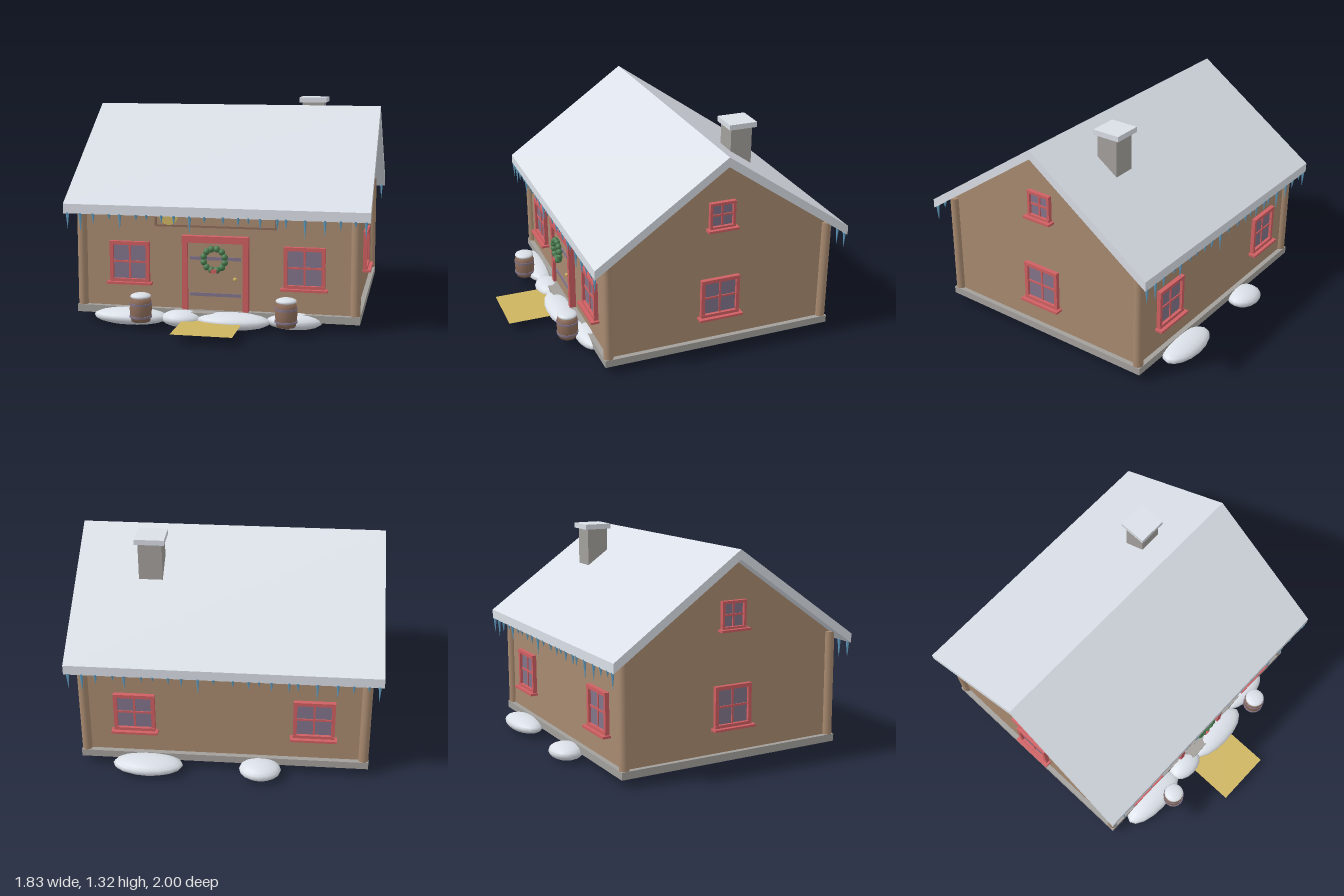
import * as THREE from 'three';

const mat = (name, color, extra = {}) =>
  Object.assign(new THREE.MeshStandardMaterial({ color, ...extra }), { name });

export function createModel() {
  const wall = mat('wall wood', 0xa88a70);
  const wood = mat('dark wood', 0x8c6c5a);
  const snow = mat('snow', 0xdde2ea);
  const stone = mat('stone', 0xa3a09c);
  const red = mat('red trim', 0xcf5f62);
  const glass = mat('glass and iron', 0x82748a);
  const green = mat('wreath green', 0x4a7d50);
  const gold = mat('gold', 0xcdb460, { side: THREE.DoubleSide });
  const ice = mat('ice', 0x5f9cc0);

  const model = new THREE.Group();
  model.name = 'winterCabin';
  const CZ = -0.125; // ridge line depth
  const HX = 0.83, HZ = 0.695; // wall half sizes

  function add(name, geo, material, x = 0, y = 0, z = 0, parent = model) {
    const m = new THREE.Mesh(geo, material);
    m.name = name;
    m.position.set(x, y, z);
    parent.add(m);
    return m;
  }
  const box = (name, w, h, d, material, x, y, z, parent) =>
    add(name, new THREE.BoxGeometry(w, h, d), material, x, y, z, parent);
  function group(name, x, y, z, parent = model) {
    const g = new THREE.Group();
    g.name = name;
    g.position.set(x, y, z);
    parent.add(g);
    return g;
  }
  // Extrudes a (z, y) outline along x, centred on x = 0
  function profileAlongX(points, length) {
    const shape = new THREE.Shape(points.map(([z, y]) => new THREE.Vector2(-z, y)));
    const geo = new THREE.ExtrudeGeometry(shape, { depth: length, bevelEnabled: false });
    return geo.translate(0, 0, -length / 2).rotateY(Math.PI / 2);
  }

  // Base, walls, gables and round corner posts
  box('foundation', 1.72, 0.045, 1.45, stone, 0, 0.0725, CZ);
  box('walls', 2 * HX, 0.64, 2 * HZ, wall, 0, 0.415, CZ);
  add('gable', profileAlongX([[-HZ, 0.735], [HZ, 0.735], [0, 1.222]], 2 * HX), wall, 0, 0, CZ);
  for (const sx of [-1, 1]) for (const sz of [-1, 1])
    add('cornerPost', new THREE.CylinderGeometry(0.03, 0.03, 0.64, 12), wall, sx * HX, 0.415, CZ + sz * HZ);

  // Snow-covered roof
  add('roof', profileAlongX([
    [-0.795, 0.667], [0, 1.222], [0.795, 0.667], [0.795, 0.725], [0, 1.28], [-0.795, 0.725],
  ], 1.83), snow, 0, 0, CZ);
  for (const s of [-1, 1])
    box('eaveTrim', 1.62, 0.025, 0.02, red, 0, 0.7, CZ + s * (HZ + 0.01));

  // Chimney
  box('chimney', 0.142, 0.4, 0.135, stone, 0.465, 1.09, -0.378);
  box('chimneyCap', 0.178, 0.032, 0.175, snow, 0.465, 1.304, -0.381);

  // Icicles along both eaves: x position and length
  const icicles = [
    [-0.89, 0.1], [-0.81, 0.12], [-0.73, 0.07], [-0.63, 0.04], [-0.565, 0.1], [-0.465, 0.04],
    [-0.4, 0.035], [-0.31, 0.05], [-0.235, 0.06], [-0.14, 0.11], [-0.05, 0.04], [0.06, 0.05],
    [0.15, 0.06], [0.21, 0.04], [0.28, 0.07], [0.38, 0.07], [0.43, 0.06], [0.54, 0.12],
    [0.655, 0.1], [0.745, 0.06], [0.83, 0.04], [0.89, 0.1]];
  for (const s of [-1, 1]) for (const [x, len] of icicles)
    add('icicle', new THREE.ConeGeometry(0.011, len, 6).rotateX(Math.PI), ice,
      s * x, 0.672 - len / 2, CZ + s * 0.788);

  // Window facing +z, then turned to its wall
  function windowUnit(x, y, z, turn, w, h, bar) {
    const g = group('window', x, y, z);
    g.rotation.y = turn;
    box('pane', w - bar, h - bar, 0.008, glass, 0, 0, 0.004, g);
    for (const s of [-1, 1]) {
      box('frameSide', bar, h, 0.025, red, s * (w - bar) / 2, 0, 0.0125, g);
      box('frameRail', w, bar, 0.027, red, 0, s * (h - bar) / 2, 0.0135, g);
    }
    box('mullion', 0.012, h - bar, 0.014, red, 0, 0, 0.007, g);
    box('transom', w - bar, 0.012, 0.014, red, 0, 0, 0.007, g);
    box('sill', w + 0.032, 0.014, 0.05, red, 0, -h / 2 - 0.003, 0.025, g);
  }
  for (const s of [-1, 1]) {
    windowUnit(s * 0.53, 0.37, CZ + HZ, 0, 0.245, 0.25, 0.022);
    windowUnit(s * 0.53, 0.37, CZ - HZ, Math.PI, 0.245, 0.25, 0.022);
    windowUnit(s * HX, 0.37, CZ, s * Math.PI / 2, 0.245, 0.25, 0.022);
    windowUnit(s * HX, 0.902, CZ, s * Math.PI / 2, 0.16, 0.165, 0.016);
  }

  // Door with frame, iron straps and knob
  const door = group('door', 0, 0, CZ + HZ);
  box('doorLeaf', 0.34, 0.41, 0.02, wall, 0, 0.3, 0.01, door);
  for (const s of [-1, 1])
    box('doorJamb', 0.033, 0.45, 0.04, red, s * 0.184, 0.32, 0.02, door);
  box('doorLintel', 0.4, 0.04, 0.042, red, 0, 0.525, 0.021, door);
  for (const y of [0.19, 0.41])
    box('strap', 0.31, 0.02, 0.006, glass, 0, y, 0.023, door);
  add('knob', new THREE.SphereGeometry(0.012, 12, 8), gold, 0.12, 0.29, 0.03, door);
  box('doorstep', 0.4, 0.04, 0.07, stone, 0, 0.072, 0.055, door);

  // Wreath of round tufts with a bow
  const wreath = group('wreath', 0, 0.412, CZ + HZ + 0.058);
  for (let i = 0; i < 12; i++) {
    const a = (i + 0.5) / 12 * Math.PI * 2;
    add('tuft', new THREE.SphereGeometry(0.02, 10, 8), green, Math.cos(a) * 0.065, Math.sin(a) * 0.065, 0, wreath);
  }
  box('bow', 0.036, 0.022, 0.02, red, 0, -0.067, 0.012, wreath);

  // Sign board with a gold disc
  const sign = group('sign', 0, 0.655, CZ + HZ);
  box('signBoard', 0.735, 0.12, 0.02, wall, 0, 0, 0.01, sign);
  for (const s of [-1, 1]) {
    box('signRail', 0.735, 0.012, 0.03, wood, 0, s * 0.054, 0.015, sign);
    box('signStile', 0.012, 0.12, 0.03, wood, s * 0.362, 0, 0.015, sign);
  }
  add('signDisc', new THREE.CylinderGeometry(0.058, 0.058, 0.012, 24).rotateX(Math.PI / 2), gold, -0.28, 0.01, 0.036, sign);

  // Golden mat in front of the door
  add('mat', new THREE.PlaneGeometry(0.36, 0.38).rotateX(-Math.PI / 2), gold, 0, 0.052, 0.81);

  // Barrels topped with snow
  for (const [x, z] of [[-0.42, 0.74], [0.44, 0.7]]) {
    const b = group('barrel', x, 0.05, z);
    const profile = [[0, 0], [0.056, 0], [0.063, 0.04], [0.066, 0.075], [0.063, 0.115], [0.056, 0.15], [0, 0.15]];
    add('barrelBody', new THREE.LatheGeometry(profile.map(p => new THREE.Vector2(...p)), 16), wood, 0, 0, 0, b);
    for (const y of [0.03, 0.105])
      add('hoop', new THREE.CylinderGeometry(0.067, 0.067, 0.012, 16), glass, 0, y, 0, b);
    const cap = add('snowCap', new THREE.SphereGeometry(0.062, 16, 8), snow, 0, 0.15, 0, b);
    cap.scale.y = 0.3;
  }

  // Flattened snow drifts: x, z, half width, half depth
  for (const [x, z, rx, rz] of [
    [-0.51, 0.64, 0.23, 0.095], [-0.195, 0.64, 0.125, 0.085], [0.115, 0.645, 0.225, 0.095],
    [0.47, 0.58, 0.17, 0.08], [-0.22, -0.9, 0.125, 0.1], [0.45, -0.9, 0.21, 0.1]]) {
    const drift = add('snowDrift', new THREE.SphereGeometry(1, 16, 10), snow, x, 0.05, z);
    drift.scale.set(rx, 0.05, rz);
  }
  return model;
}
